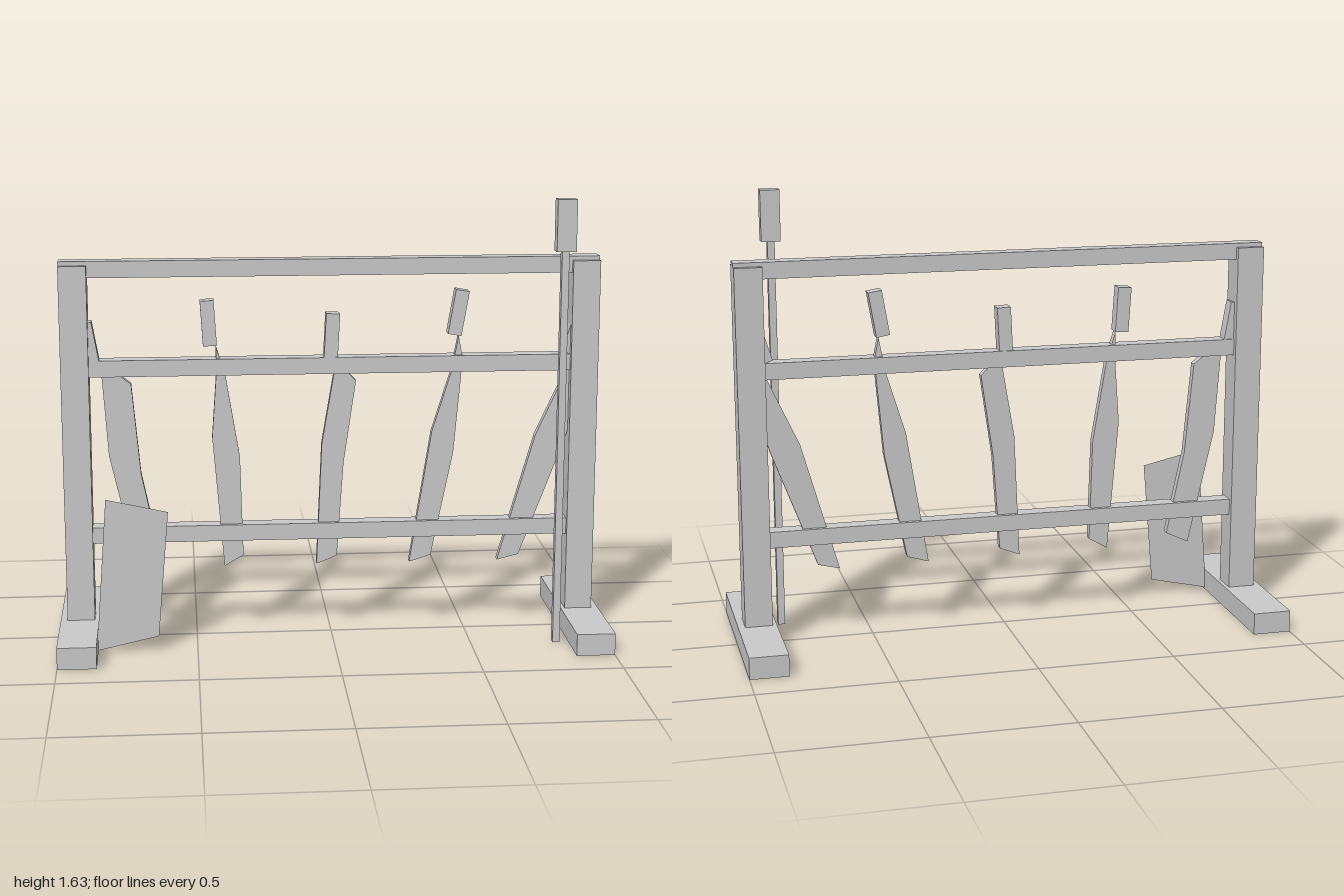
import * as THREE from 'three';

const material = new THREE.MeshStandardMaterial({ color: 0xcccccc, flatShading: true });
const thinMaterial = new THREE.MeshStandardMaterial({ color: 0xcccccc, flatShading: true, side: THREE.DoubleSide });

// Box given by its size and centre, optionally tilted about z
function box(name, w, h, d, x, y, z, tilt = 0) {
  const mesh = new THREE.Mesh(new THREE.BoxGeometry(w, h, d), material);
  mesh.name = name;
  mesh.position.set(x, y, z);
  mesh.rotation.z = tilt;
  return mesh;
}

const outline = (points) => new THREE.Shape(points.map(([x, y]) => new THREE.Vector2(x, y)));

// Each weapon: grip centre and tilt, then the blade outline from its top point clockwise
const weapons = [
  { grip: [-0.873, 1.1, 0.17],
    blade: [[-0.82, 1.03], [-0.725, 0.955], [-0.695, 0.62], [-0.63, 0.305], [-0.715, 0.265], [-0.81, 0.69], [-0.83, 0.985]] },
  { grip: [-0.444, 1.175, 0.06],
    blade: [[-0.418, 1.09], [-0.385, 0.985], [-0.335, 0.68], [-0.325, 0.305], [-0.395, 0.265], [-0.435, 0.75], [-0.418, 0.985]] },
  { grip: [0.002, 1.122, -0.05],
    blade: [[0.02, 1.03], [0.09, 0.955], [0.045, 0.65], [0.02, 0.295], [-0.055, 0.265], [-0.035, 0.72], [0.01, 0.985]] },
  { grip: [0.463, 1.202, -0.17],
    blade: [[0.465, 1.115], [0.48, 1.04], [0.475, 0.96], [0.45, 0.68], [0.37, 0.29], [0.29, 0.265], [0.37, 0.76], [0.44, 0.985]] },
  { grip: [0.893, 1.125, -0.3],
    blade: [[0.88, 1.02], [0.94, 0.96], [0.86, 0.71], [0.70, 0.285], [0.62, 0.265], [0.755, 0.74], [0.87, 0.99]] },
];

export function createModel() {
  const model = new THREE.Group();
  model.name = 'weaponRack';

  // Feet and uprights, mirrored
  for (const s of [-1, 1]) {
    model.add(box('foot', 0.14, 0.08, 0.72, s * 0.93, 0.04, 0));
    model.add(box('post', 0.1, 1.31, 0.1, s * 0.925, 0.735, 0));
  }

  // Cross rails
  model.add(box('topRail', 1.95, 0.06, 0.06, 0, 1.375, 0));
  model.add(box('middleRail', 1.76, 0.06, 0.06, 0, 1.015, 0));
  model.add(box('lowerRail', 1.76, 0.06, 0.06, 0, 0.395, 0));

  // Curved blades with separate grips
  const thickness = 0.03;
  for (const { grip, blade } of weapons) {
    const weapon = new THREE.Group();
    weapon.name = 'sword';
    const geometry = new THREE.ExtrudeGeometry(outline(blade), { depth: thickness, bevelEnabled: false });
    geometry.translate(0, 0, -thickness / 2);
    const bladeMesh = new THREE.Mesh(geometry, material);
    bladeMesh.name = 'blade';
    weapon.add(bladeMesh, box('grip', 0.05, 0.165, 0.05, grip[0], grip[1], 0, grip[2]));
    model.add(weapon);
  }

  // Standing pole with its head
  model.add(box('poleShaft', 0.026, 1.45, 0.03, 0.814, 0.725, 0.19));
  model.add(box('poleHead', 0.07, 0.185, 0.048, 0.815, 1.5375, 0.191));

  // Flat shield leaning by the left foot
  const shield = new THREE.Mesh(
    new THREE.ShapeGeometry(outline([[-0.865, 0.005], [-0.64, 0.055], [-0.6, 0.52], [-0.822, 0.57]])),
    thinMaterial
  );
  shield.name = 'shield';
  shield.position.z = 0.18;
  model.add(shield);

  return model;
}
